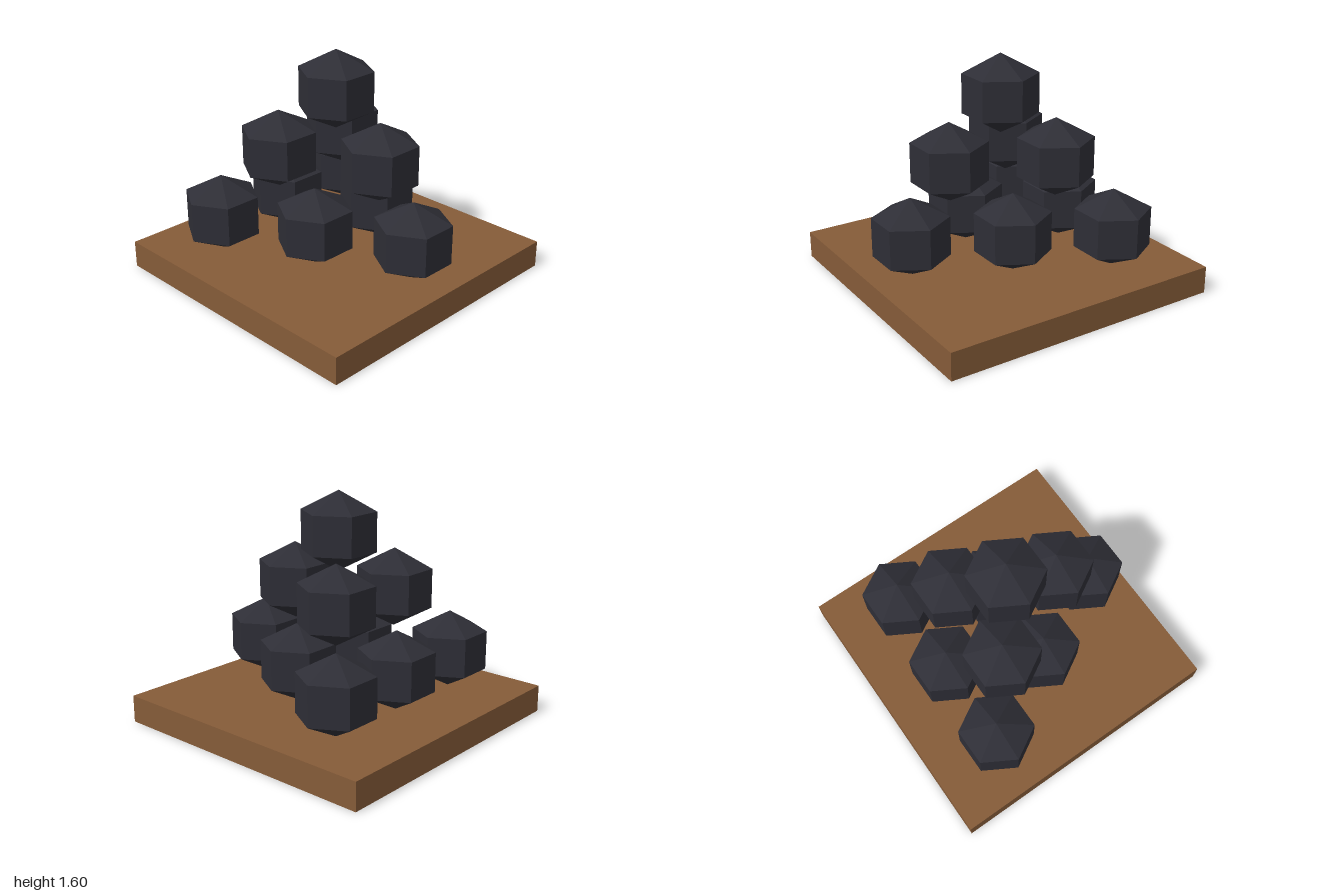
import * as THREE from 'three';

export function createModel() {
  const model = new THREE.Group();
  model.name = 'ballPyramid';

  const wood = new THREE.MeshStandardMaterial({ color: 0x855b38, flatShading: true });
  wood.name = 'brown wood';
  const iron = new THREE.MeshStandardMaterial({ color: 0x2e2e36, flatShading: true });
  iron.name = 'dark iron';

  // Square wooden base
  const base = new THREE.Mesh(new THREE.BoxGeometry(2, 0.19, 2), wood);
  base.name = 'base';
  base.position.y = 0.095;
  model.add(base);

  // Six-sided low-poly ball, slightly flattened
  const ballGeometry = new THREE.SphereGeometry(0.298, 6, 3);
  ballGeometry.scale(1, 0.917, 1);

  // Stacked layers: height and [x, z] of each ball
  const layers = [
    { name: 'bottomBall', y: 0.463, spots: [[-0.6, -0.5], [0, -0.5], [0.6, -0.5], [-0.3, 0.1], [0.3, 0.1], [0, 0.7]] },
    { name: 'middleBall', y: 0.923, spots: [[-0.3, -0.24], [0.3, -0.24], [0, 0.4]] },
    { name: 'topBall', y: 1.327, spots: [[0, 0]] },
  ];
  for (const { name, y, spots } of layers) {
    spots.forEach(([x, z], i) => {
      const ball = new THREE.Mesh(ballGeometry, iron);
      ball.name = spots.length > 1 ? `${name}${i + 1}` : name;
      ball.position.set(x, y, z);
      model.add(ball);
    });
  }
  return model;
}
